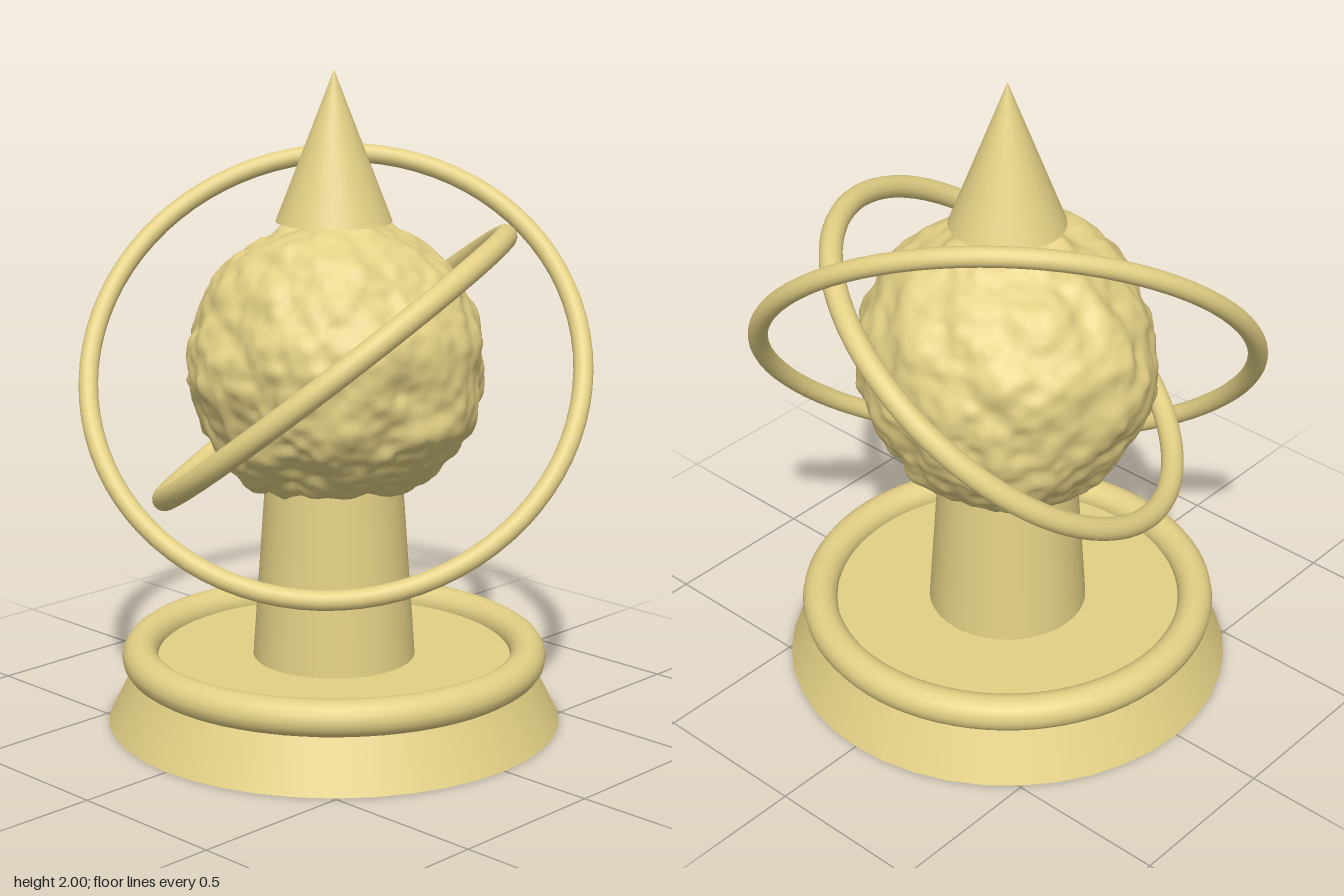
import * as THREE from 'three';
import { mergeVertices } from 'three/addons/utils/BufferGeometryUtils.js';

const material = new THREE.MeshStandardMaterial({ color: 0xe3d085 });

// Repeatable value noise in the range -1..1
function hash(x, y, z) {
  const s = Math.sin(x * 127.1 + y * 311.7 + z * 74.7) * 43758.5453;
  return (s - Math.floor(s)) * 2 - 1;
}

function noise(x, y, z) {
  const base = [x, y, z].map(Math.floor);
  const f = [x, y, z].map((v, i) => THREE.MathUtils.smoothstep(v - base[i], 0, 1));
  let sum = 0;
  for (let c = 0; c < 8; c++) {
    const o = [c & 1, (c >> 1) & 1, c >> 2];
    const weight = o.reduce((w, bit, i) => w * (bit ? f[i] : 1 - f[i]), 1);
    sum += weight * hash(base[0] + o[0], base[1] + o[1], base[2] + o[2]);
  }
  return sum;
}

// Broad swells and hollows of the rock: direction, height, sharpness
const swells = [
  [-0.5, -0.75, 0.5, -0.055, 5],
  [0.5, -0.75, -0.4, 0.03, 6],
  [-1, 0.1, 0, -0.03, 4],
  [0, 0.1, -1, 0.035, 6],
  [0.7, 0.6, 0, 0.015, 6],
].map(([x, y, z, height, sharp]) => ({ dir: new THREE.Vector3(x, y, z).normalize(), height, sharp }));

function rockGeometry(radius) {
  let g = new THREE.IcosahedronGeometry(1, 32);
  g.deleteAttribute('normal');
  g.deleteAttribute('uv');
  g = mergeVertices(g, 1e-4);
  const pos = g.attributes.position;
  const d = new THREE.Vector3();
  for (let i = 0; i < pos.count; i++) {
    d.fromBufferAttribute(pos, i).normalize();
    let r = radius;
    for (const s of swells) r += s.height * Math.exp(s.sharp * (d.dot(s.dir) - 1));
    for (const [freq, amp] of [[3.1, 0.018], [6.3, 0.014], [13, 0.008]]) {
      r += amp * noise(d.x * freq + 20, d.y * freq + 20, d.z * freq + 20);
    }
    pos.setXYZ(i, d.x * r, d.y * r, d.z * r);
  }
  g.computeVertexNormals();
  return g;
}

export function createModel() {
  const model = new THREE.Group();

  function add(name, geometry, y) {
    const mesh = new THREE.Mesh(geometry, material);
    mesh.name = name;
    mesh.position.y = y;
    model.add(mesh);
    return mesh;
  }

  // A ring whose axis points along the given direction
  function addRing(name, radius, tube, y, axis) {
    const ring = add(name, new THREE.TorusGeometry(radius, tube, 16, 80), y);
    ring.quaternion.setFromUnitVectors(new THREE.Vector3(0, 0, 1), new THREE.Vector3(...axis).normalize());
  }

  // Stand
  add('base', new THREE.CylinderGeometry(0.6, 0.7, 0.2, 40), 0.1);
  addRing('baseRim', 0.6, 0.055, 0.205, [0, 1, 0]);
  add('column', new THREE.CylinderGeometry(0.2, 0.25, 0.7, 40), 0.55);

  // Rock with its spire
  add('rock', rockGeometry(0.45), 1.1);
  add('spire', new THREE.ConeGeometry(0.175, 0.45, 40), 1.775);

  // Tilted orbit rings
  addRing('innerOrbit', 0.65, 0.035, 1.105, [-0.339, 0.783, -0.522]);
  addRing('outerOrbit', 0.75, 0.03, 1.105, [-0.616, 0.612, 0.496]);

  return model;
}
